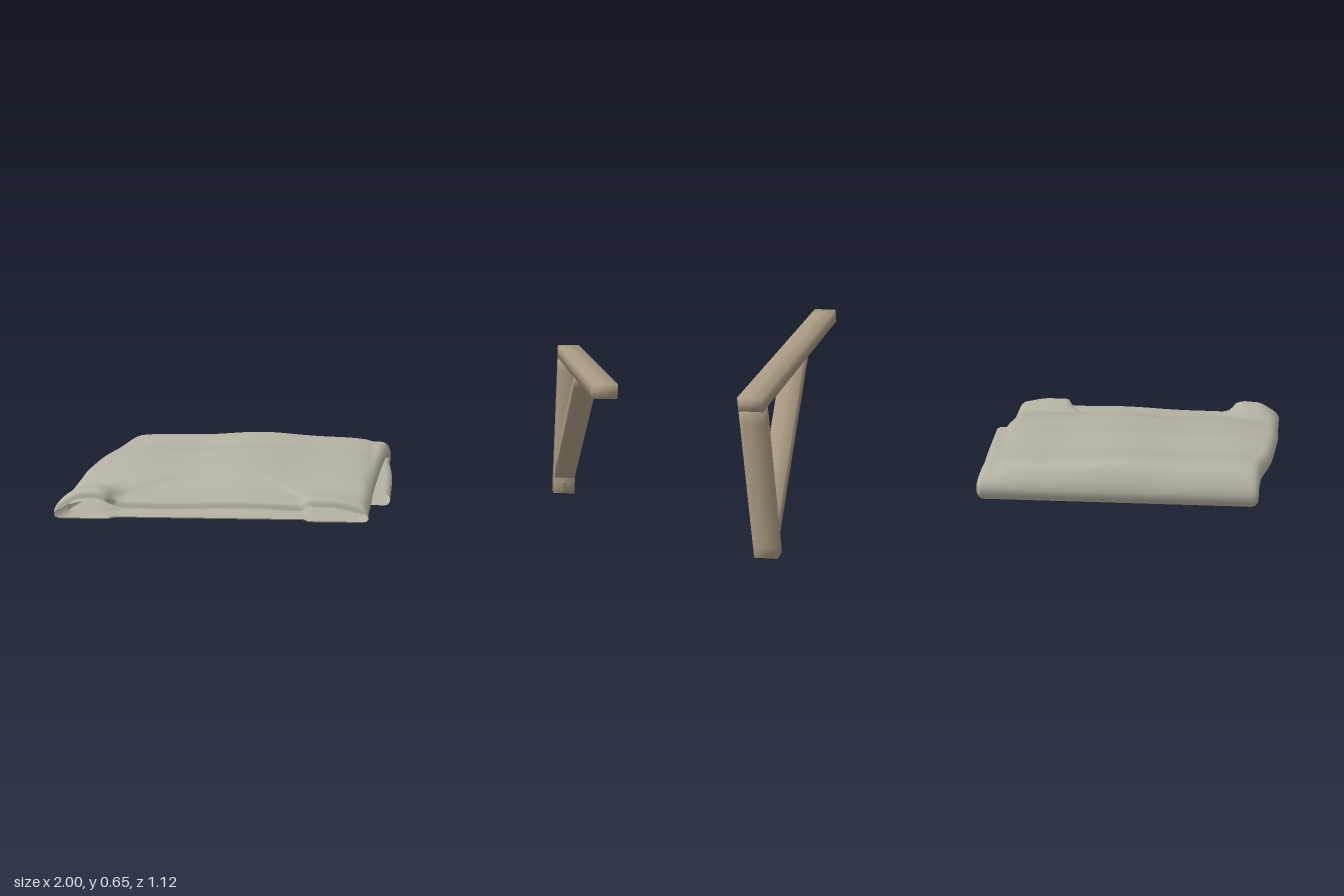
import * as THREE from 'three';
import { mergeVertices } from 'three/addons/utils/BufferGeometryUtils.js';

const cloth = new THREE.MeshStandardMaterial({ color: 0xb5b1a3, side: THREE.DoubleSide });
cloth.name = 'grey linen';
const wood = new THREE.MeshStandardMaterial({ color: 0xa99a82 });
wood.name = 'pale wood';
const metal = new THREE.MeshStandardMaterial({ color: 0x7d7464 });
metal.name = 'dull metal';

const { lerp, smoothstep } = THREE.MathUtils;

// Stations along the fold: outer z, outer y, inner z, inner y, edge at -x, edge at +x
const FOLD = [
  [0.556, 0.188, 0.552, 0.162, -1.0, 0.13],
  [0.545, 0.213, 0.54, 0.155, -1.0, 0.13],
  [0.5, 0.222, 0.5, 0.154, -0.995, 0.13],
  [0.4, 0.223, 0.4, 0.156, -0.985, 0.135],
  [0.3, 0.243, 0.3, 0.172, -0.975, 0.14],
  [0.2, 0.261, 0.2, 0.19, -0.965, 0.15],
  [0.0, 0.27, 0.0, 0.203, -0.93, 0.165],
  [-0.2, 0.28, -0.2, 0.212, -0.88, 0.185],
  [-0.27, 0.272, -0.255, 0.21, -0.87, 0.19],
  [-0.31, 0.245, -0.275, 0.205, -0.865, 0.195],
  [-0.322, 0.213, -0.28, 0.2, -0.865, 0.195],
  [-0.31, 0.178, -0.275, 0.197, -0.865, 0.195],
  [-0.28, 0.155, -0.255, 0.195, -0.862, 0.192],
  [-0.2, 0.155, -0.2, 0.2, -0.855, 0.198],
  [0.0, 0.155, 0.0, 0.2, -0.835, 0.207],
  [0.3, 0.155, 0.3, 0.197, -0.81, 0.203],
];
const UPPER_END = 8 / 15; // the top layer turns under here

function track(pick) {
  return new THREE.CatmullRomCurve3(FOLD.map(pick), false, 'catmullrom', 0.5);
}
const outerTrack = track(f => new THREE.Vector3(0, f[1], f[0]));
const innerTrack = track(f => new THREE.Vector3(0, f[3], f[2]));
const edgeTrack = track(f => new THREE.Vector3(f[4], f[5], 0));

// Flat tube section: a runs across, e is the rounded end, h goes from inner (-1) to outer (1)
function flatSection(across = 80, round = 8) {
  const pts = [];
  for (const side of [1, -1]) {
    for (let i = 0; i <= across; i++) pts.push({ a: side > 0 ? i / across : 1 - i / across, e: 0, h: side });
    for (let i = 1; i < round; i++) {
      const t = Math.PI * i / round;
      pts.push({ a: side > 0 ? 1 : 0, e: side * Math.sin(t), h: side * Math.cos(t) });
    }
  }
  return pts;
}

// Soft swells over the top layer, with lifted front corners
function swell(x, z) {
  const across = Math.pow(Math.max(0, Math.sin(Math.PI * (x + 1) / 1.12)), 0.55);
  const wave = 0.031 + 0.005 * Math.cos((z - 0.05) * 22 + (x + 0.4) * 1.6) + 0.005 * Math.cos((x + 0.33) * 13);
  const left = 0.038 * smoothstep(z, 0.34, 0.54) * smoothstep(x, -1.0, -0.9) * (1 - smoothstep(x, -0.85, -0.75));
  const right = 0.016 * smoothstep(z, 0.4, 0.55) * smoothstep(x, -0.12, -0.07) * (1 - smoothstep(x, 0, 0.12));
  return across * wave * (1 - 0.5 * smoothstep(z, 0.25, 0.52)) + left + right;
}

// Sweep the flat tube along the fold; fill and inset make the hidden inner layer
function foldedTube(fill, inset, rows, tStart, tEnd) {
  const section = flatSection();
  const n = section.length, pos = [], index = [];
  for (let i = 0; i <= rows; i++) {
    const t = lerp(tStart, tEnd, i / rows);
    const o = outerTrack.getPoint(t), q = innerTrack.getPoint(t), edge = edgeTrack.getPoint(t);
    const r = o.distanceTo(q) / 2 * fill;
    const upper = 1 - smoothstep(t, UPPER_END - 0.02, UPPER_END + 0.13);
    const x0 = edge.x + inset + r, x1 = edge.y - inset - r;
    for (const s of section) {
      const x = lerp(x0, x1, s.a) + s.e * r;
      const k = (1 + s.h * fill) / 2;
      let y = lerp(q.y, o.y, k), z = lerp(q.z, o.z, k);
      // neck opening, sunk and drawn back at the front edge
      const d = Math.hypot((x + 0.445) / 0.36, (z - 0.55) / 0.25);
      const neck = (1 - smoothstep(d, 0.96, 1.0)) * upper;
      y += upper * k * swell(x, z) - 0.007 * neck * k;
      z -= 0.024 * neck * smoothstep(z, 0.44, 0.55);
      // the rear fold runs slightly askew
      if (z < 0) z *= lerp(0.87, 1.02, (x + 0.86) / 1.05);
      pos.push(x, y, z);
    }
  }
  for (let i = 0; i < rows; i++) for (let j = 0; j < n; j++) {
    const a = i * n + j, b = i * n + (j + 1) % n, c = a + n, d = b + n;
    index.push(a, c, b, b, c, d);
  }
  const g = new THREE.BufferGeometry();
  g.setAttribute('position', new THREE.Float32BufferAttribute(pos, 3));
  g.setIndex(index);
  g.computeVertexNormals();
  return g;
}

// Share corners so the shading rolls softly over the edges
function soften(geometry) {
  geometry.deleteAttribute('normal');
  geometry.deleteAttribute('uv');
  const g = mergeVertices(geometry, 1e-4);
  g.computeVertexNormals();
  return g;
}

function add(group, name, geometry, material, x = 0, y = 0, z = 0) {
  const m = new THREE.Mesh(geometry, material);
  m.name = name;
  m.position.set(x, y, z);
  group.add(m);
  return m;
}

export function createModel() {
  const model = new THREE.Group();
  model.name = 'foldedClothAndBracket';

  // Folded cloth
  const garment = new THREE.Group();
  garment.name = 'foldedCloth';
  add(garment, 'outerFold', foldedTube(1, 0, 180, 0, 1), cloth);
  add(garment, 'innerLayer', foldedTube(0.3, 0.05, 75, 0.06, 0.98), cloth);
  model.add(garment);

  // Wooden bracket
  const bracket = new THREE.Group();
  bracket.name = 'shelfBracket';
  const cx = 0.955, w = 0.09;
  add(bracket, 'topBeam', soften(new THREE.BoxGeometry(w, 0.052, 1.005, 2, 2, 20)), wood, cx, 0.62, -0.058);
  add(bracket, 'wallPost', soften(new THREE.BoxGeometry(w, 0.594, 0.054, 2, 12, 2)), wood, cx, 0.297, -0.533);

  // Diagonal brace with mitred ends, a box sheared into place
  const brace = new THREE.BoxGeometry(0.086, 1, 1, 2, 2, 12);
  const p = brace.attributes.position;
  for (let i = 0; i < p.count; i++) {
    const along = p.getZ(i) + 0.5, high = p.getY(i) + 0.5;
    p.setZ(i, lerp(-0.506, lerp(0.02, -0.05, high), along));
    p.setY(i, lerp(lerp(0.07, 0.14, high), 0.595, along));
  }
  add(bracket, 'brace', soften(brace), wood, cx);

  // Small screw heads under the beam and on the post
  for (const s of [-1, 1]) {
    add(bracket, 'beamScrew', new THREE.CylinderGeometry(0.005, 0.005, 0.014, 10), metal, cx, 0.589, 0.368 + s * 0.007);
    const screw = add(bracket, 'postScrew', new THREE.CylinderGeometry(0.005, 0.005, 0.014, 10), metal, cx, 0.038 + s * 0.007, -0.501);
    screw.rotation.x = Math.PI / 2;
  }
  model.add(bracket);
  return model;
}
